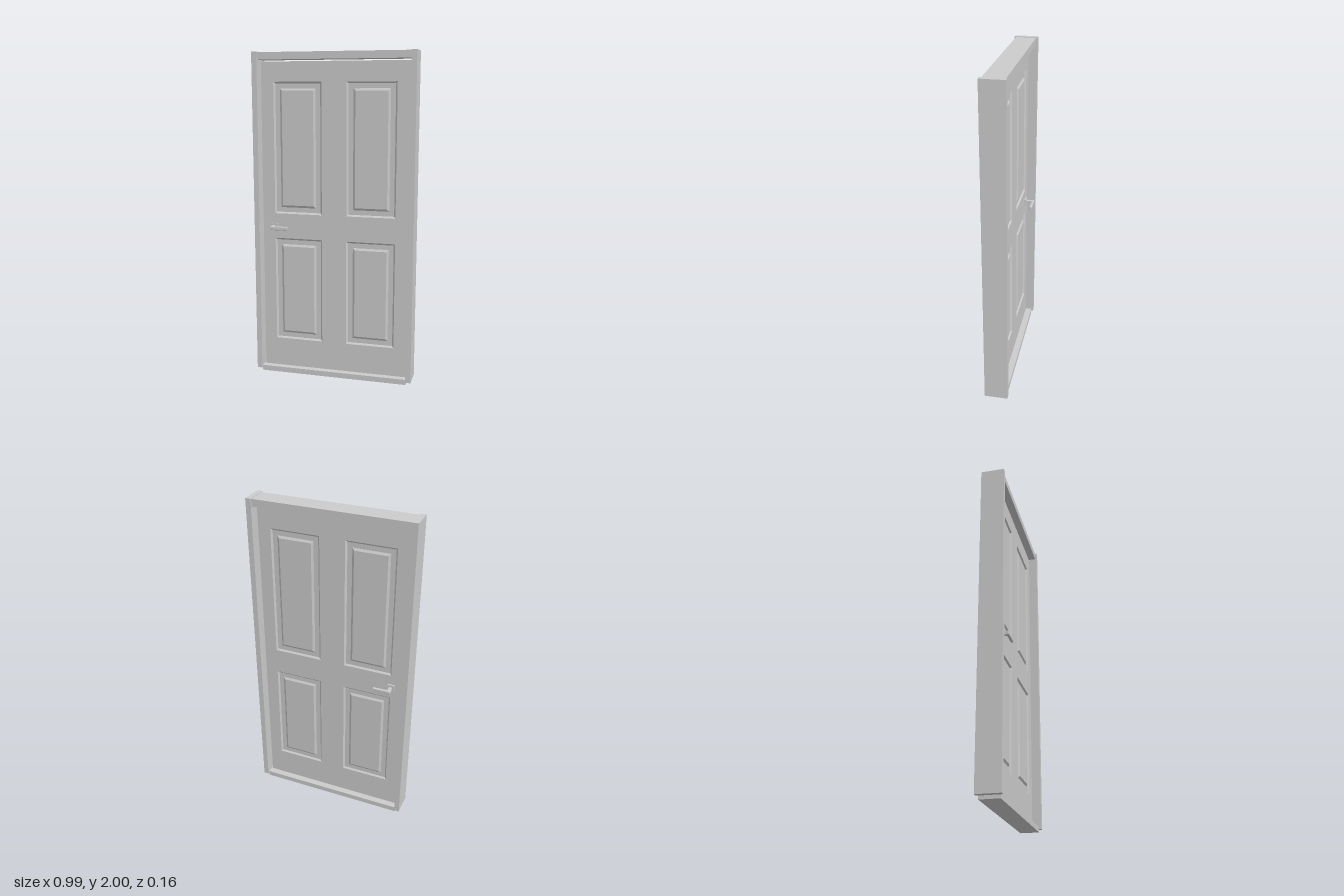
import * as THREE from 'three';
import { RoundedBoxGeometry } from 'three/addons/geometries/RoundedBoxGeometry.js';

const material = new THREE.MeshStandardMaterial({ color: 0xcccccc, flatShading: true });
const FACE = 0.018; // half thickness of the door leaf

function add(parent, name, geometry, x = 0, y = 0, z = 0) {
  const mesh = new THREE.Mesh(geometry, material);
  mesh.name = name;
  mesh.position.set(x, y, z);
  parent.add(mesh);
  return mesh;
}

// Box given by its extents in x and y and its half depth in z
function slab(parent, name, x0, x1, y0, y1, halfDepth) {
  return add(parent, name, new THREE.BoxGeometry(x1 - x0, y1 - y0, halfDepth * 2),
    (x0 + x1) / 2, (y0 + y1) / 2, 0);
}

// Nested rectangles, each [inset, z], joined by mitred bands and closed by a flat field
function panelGeometry(w, h, steps) {
  const positions = [];
  const corners = ([inset, z]) => {
    const a = w / 2 - inset, b = h / 2 - inset;
    return [[-a, -b, z], [a, -b, z], [a, b, z], [-a, b, z]];
  };
  const quad = (a, b, c, d) => positions.push(...a, ...b, ...c, ...a, ...c, ...d);
  const rings = steps.map(corners);
  for (let i = 0; i + 1 < rings.length; i++) {
    for (let k = 0; k < 4; k++) {
      const n = (k + 1) % 4;
      quad(rings[i][k], rings[i][n], rings[i + 1][n], rings[i + 1][k]);
    }
  }
  quad(...rings[rings.length - 1]);
  const geometry = new THREE.BufferGeometry();
  geometry.setAttribute('position', new THREE.Float32BufferAttribute(positions, 3));
  geometry.computeVertexNormals();
  return geometry;
}

function createLeaf() {
  const leaf = new THREE.Group();
  leaf.name = 'doorLeaf';

  const outline = new THREE.Shape([[-0.455, 0.033], [0.455, 0.033], [0.455, 1.944], [-0.455, 1.944]]
    .map(([x, y]) => new THREE.Vector2(x, y)));

  // Recess around the edge, then a raised field in the middle
  const steps = [[0, FACE], [0.01, FACE - 0.009], [0.039, FACE - 0.009], [0.052, FACE - 0.001]];
  const w = 0.301;
  for (const x of [-0.2275, 0.2275]) {
    for (const [y0, y1] of [[0.214, 0.868], [1.024, 1.825]]) {
      const hole = new THREE.Path();
      hole.moveTo(x - w / 2, y0);
      hole.lineTo(x - w / 2, y1);
      hole.lineTo(x + w / 2, y1);
      hole.lineTo(x + w / 2, y0);
      hole.closePath();
      outline.holes.push(hole);

      const geometry = panelGeometry(w, y1 - y0, steps);
      add(leaf, 'frontPanel', geometry, x, (y0 + y1) / 2);
      add(leaf, 'backPanel', geometry, x, (y0 + y1) / 2).rotation.y = Math.PI;
    }
  }

  // Stiles and rails in one piece
  const frame = new THREE.ExtrudeGeometry(outline, { depth: FACE * 2, bevelEnabled: false });
  add(leaf, 'stilesAndRails', frame, 0, 0, -FACE);
  return leaf;
}

// Lever handle on one face: side is +1 for the front, -1 for the back
function createHandle(side) {
  const handle = new THREE.Group();
  handle.name = side > 0 ? 'frontHandle' : 'backHandle';
  const y = 0.939;
  add(handle, 'rose', new THREE.BoxGeometry(0.045, 0.047, 0.01), -0.381, y, side * (FACE + 0.005));
  add(handle, 'neck', new THREE.BoxGeometry(0.02, 0.02, 0.045), -0.381, y, side * (FACE + 0.0295));
  add(handle, 'lever', new RoundedBoxGeometry(0.11, 0.023, 0.016, 2, 0.004), -0.338, y, side * 0.071);
  return handle;
}

export function createModel() {
  const model = new THREE.Group();
  model.name = 'panelDoor';

  // Surrounding frame
  slab(model, 'rightJamb', -0.495, -0.463, 0.02, 2, 0.071);
  slab(model, 'leftJamb', 0.463, 0.495, 0.02, 2, 0.071);
  slab(model, 'header', -0.463, 0.463, 1.954, 1.997, 0.062);
  slab(model, 'sill', -0.463, 0.463, 0, 0.033, 0.058);

  model.add(createLeaf(), createHandle(1), createHandle(-1));
  return model;
}
